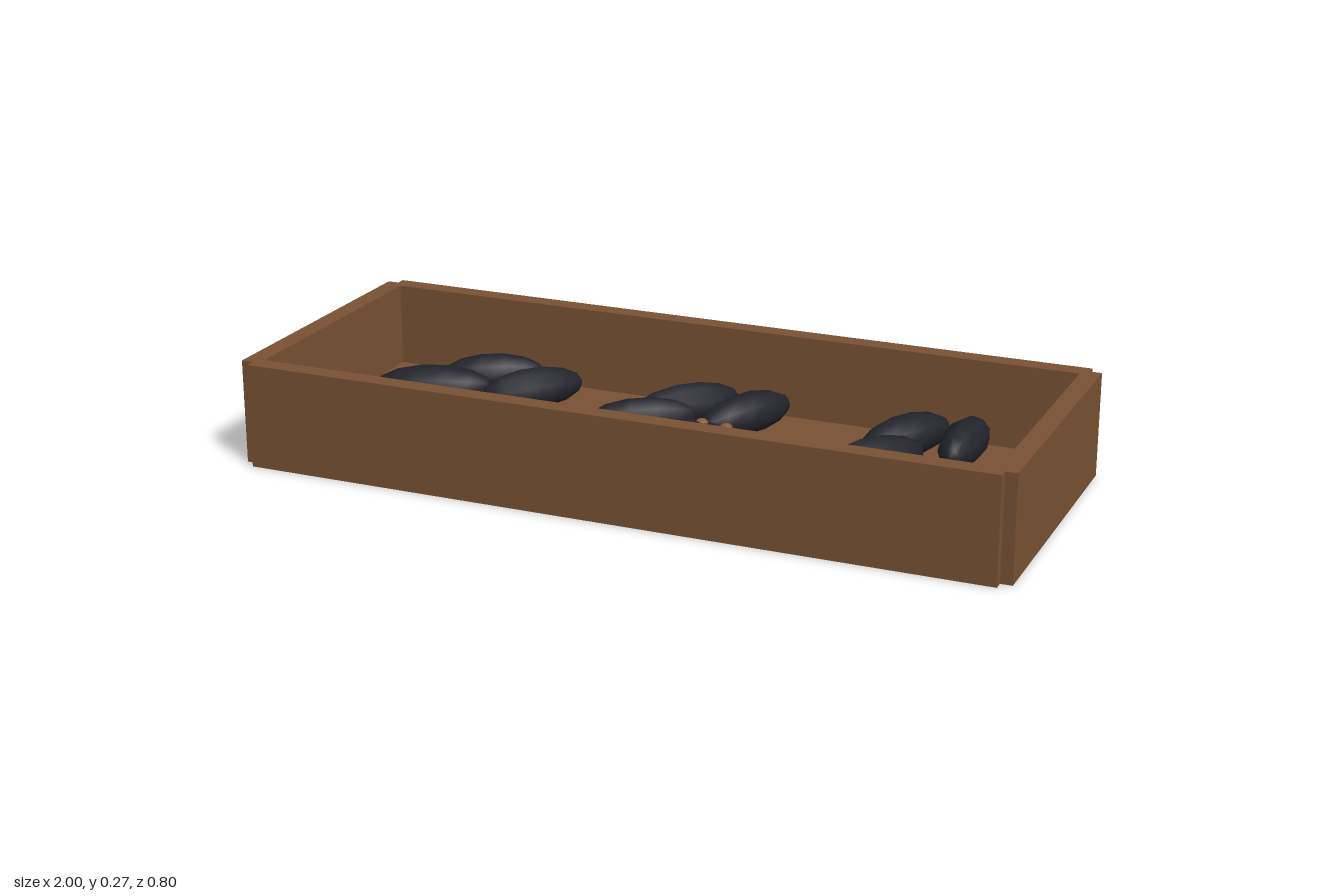
import * as THREE from 'three';

const wood = new THREE.MeshStandardMaterial({ color: 0x7a5234 });
wood.name = 'brown wood';
const dark = new THREE.MeshStandardMaterial({ color: 0x23232d });
dark.name = 'dark pod skin';
const stalk = new THREE.MeshStandardMaterial({ color: 0x8a5c38 });
stalk.name = 'stalk brown';

// Crate outline with notched corners
function crateOutline() {
  const X = 1, Z = 0.4, nx = 0.97, nz = 0.375;
  const pts = [
    [nx, -Z], [nx, -nz], [X, -nz], [X, nz], [nx, nz], [nx, Z],
    [-nx, Z], [-nx, nz], [-X, nz], [-X, -nz], [-nx, -nz], [-nx, -Z],
  ];
  return new THREE.Shape(pts.map(([x, y]) => new THREE.Vector2(x, y)));
}

function slab(name, shape, y, height) {
  const geo = new THREE.ExtrudeGeometry(shape, { depth: height, bevelEnabled: false });
  geo.rotateX(-Math.PI / 2);
  const mesh = new THREE.Mesh(geo, wood);
  mesh.name = name;
  mesh.position.y = y;
  return mesh;
}

// Pods as end points seen from above: [x1, z1, x2, z2, height of centre]
const clusters = [
  [[-0.86, -0.04, -0.57, -0.15, 0.095], [-0.72, -0.15, -0.48, -0.28, 0.105], [-0.56, -0.07, -0.37, -0.28, 0.095]],
  [[-0.87, 0.18, -0.56, 0.18, 0.095], [-0.72, 0.14, -0.45, 0.06, 0.105], [-0.58, 0.26, -0.34, 0.08, 0.095]],
  [[-0.22, 0.02, 0.02, -0.14, 0.1], [-0.13, -0.09, 0.07, -0.3, 0.105], [0.06, -0.08, 0.19, -0.34, 0.095]],
  [[-0.25, 0.27, 0.02, 0.15, 0.095], [-0.12, 0.19, 0.12, 0.02, 0.105], [0.05, 0.24, 0.23, 0.02, 0.095]],
  [[-0.26, 0.02, 0.04, 0.03, 0.07], [-0.1, 0.01, 0.14, -0.09, 0.065], [0.02, 0.09, 0.26, -0.06, 0.07]],
  [[0.44, 0.08, 0.62, -0.14, 0.095], [0.49, -0.07, 0.63, -0.31, 0.105], [0.70, -0.09, 0.70, -0.36, 0.095]],
  [[0.39, 0.34, 0.63, 0.16, 0.095], [0.49, 0.2, 0.67, 0.0, 0.105], [0.67, 0.23, 0.79, -0.03, 0.095]],
];

const podGeometry = new THREE.SphereGeometry(1, 9, 7);
const up = new THREE.Vector3(0, 1, 0);

function pod([x1, z1, x2, z2, y]) {
  const dir = new THREE.Vector3(x2 - x1, 0, z2 - z1);
  const mesh = new THREE.Mesh(podGeometry, dark);
  mesh.name = 'pod';
  mesh.scale.set(0.055, dir.length() / 2, 0.055);
  mesh.position.set((x1 + x2) / 2, y, (z1 + z2) / 2);
  mesh.quaternion.setFromUnitVectors(up, dir.normalize());
  return mesh;
}

export function createModel() {
  const model = new THREE.Group();
  model.name = 'crateOfPods';

  // Crate: floor slab and a ring of walls
  model.add(slab('crateFloor', crateOutline(), 0, 0.05));
  const ring = crateOutline();
  const hole = [[-0.95, -0.35], [-0.95, 0.35], [0.95, 0.35], [0.95, -0.35]];
  ring.holes.push(new THREE.Path(hole.map(([x, y]) => new THREE.Vector2(x, y))));
  model.add(slab('crateWalls', ring, 0.05, 0.22));

  // Clusters of pods lying on the floor
  for (const pods of clusters) {
    const group = new THREE.Group();
    group.name = 'podCluster';
    pods.forEach((p) => group.add(pod(p)));
    model.add(group);
  }

  // Small stalk knobs showing in the middle cluster
  const knob = new THREE.SphereGeometry(0.02, 8, 6);
  for (const [x, z] of [[0.06, -0.07], [0.13, -0.06], [0.02, 0.0]]) {
    const mesh = new THREE.Mesh(knob, stalk);
    mesh.name = 'stalk';
    mesh.position.set(x, 0.1, z);
    model.add(mesh);
  }
  return model;
}
